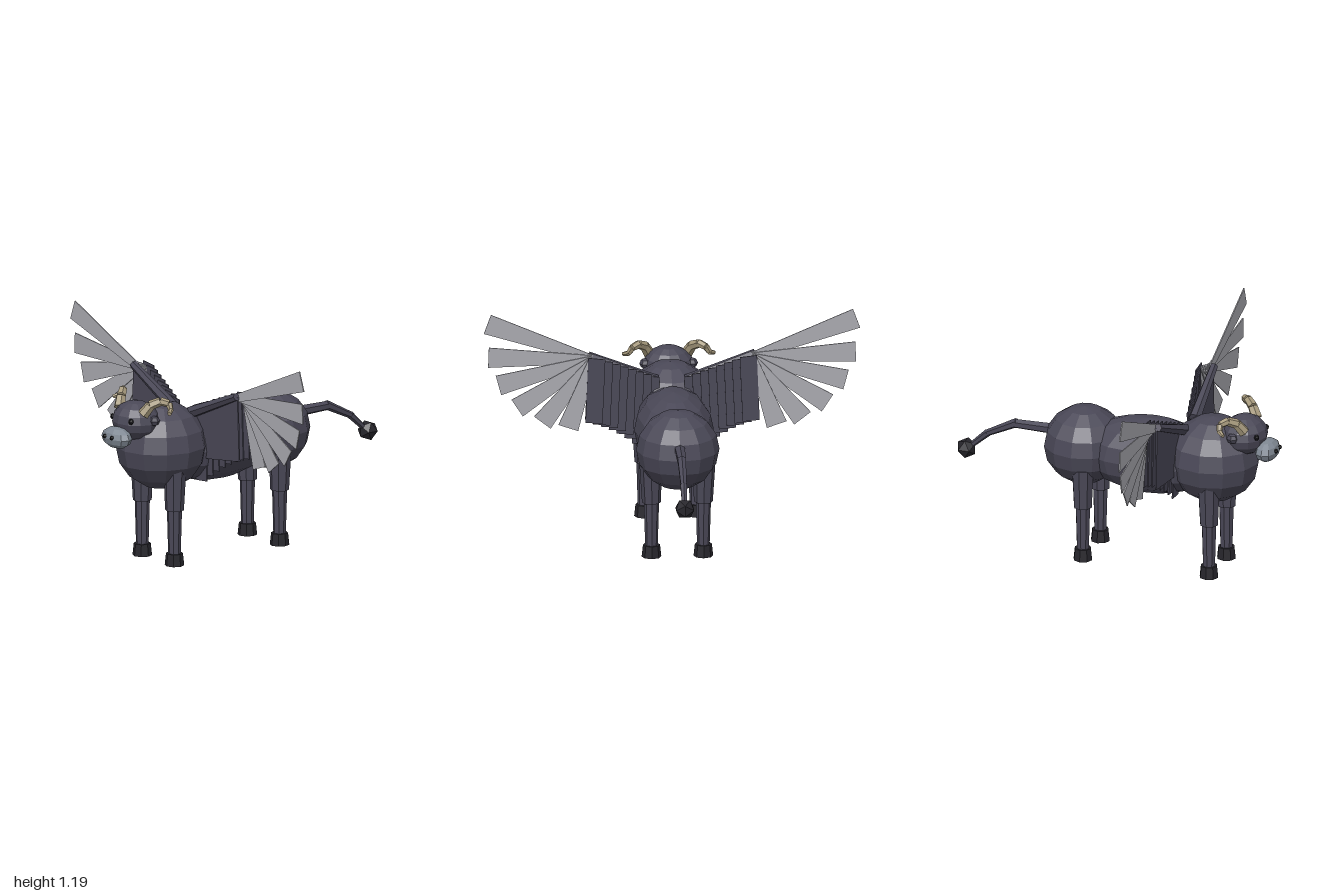
import * as THREE from 'three';

const mat = (name, color, side = THREE.FrontSide) => {
  const m = new THREE.MeshStandardMaterial({ color, flatShading: true, side });
  m.name = name;
  return m;
};
const V = (x, y, z) => new THREE.Vector3(x, y, z);

export function createModel() {
  const hide = mat('slate hide', 0x4a4857);
  const dark = mat('dark hoof', 0x26252b);
  const horn = mat('horn', 0xa89b7e);
  const snout = mat('grey muzzle', 0x7f8893);
  const feather = mat('pale feather', 0xa9a9b0, THREE.DoubleSide);
  const black = mat('black', 0x121215);

  const model = new THREE.Group();
  model.name = 'wingedBull';

  const add = (name, geo, material, parent = model) => {
    const mesh = new THREE.Mesh(geo, material);
    mesh.name = name;
    parent.add(mesh);
    return mesh;
  };
  // Faceted ellipsoid
  const ball = (name, c, r, material, w = 12, h = 8, parent = model) => {
    const mesh = add(name, new THREE.SphereGeometry(1, w, h), material, parent);
    mesh.scale.set(...r);
    mesh.position.set(...c);
    return mesh;
  };
  // Tapered rod between two points
  const rod = (name, a, b, ra, rb, material, sides = 8, parent = model) => {
    const mesh = add(name, new THREE.CylinderGeometry(rb, ra, a.distanceTo(b), sides), material, parent);
    mesh.position.copy(a).add(b).multiplyScalar(0.5);
    mesh.quaternion.setFromUnitVectors(V(0, 1, 0), b.clone().sub(a).normalize());
    return mesh;
  };
  // Thin plate from front-view corners, mirrored by s
  const plate = (name, corners, s, z, thick, material, parent) => {
    const shape = new THREE.Shape(corners.map(([x, y]) => new THREE.Vector2(s * x, y)));
    const geo = new THREE.ExtrudeGeometry(shape, { depth: thick, bevelEnabled: false });
    add(name, geo.translate(0, 0, z - thick / 2), material, parent);
  };

  // Body
  ball('chest', [0, 0.625, 0.53], [0.235, 0.235, 0.25], hide);
  ball('belly', [0, 0.595, 0.18], [0.21, 0.205, 0.4], hide);
  ball('rump', [0, 0.602, -0.19], [0.22, 0.213, 0.22], hide);

  // Head
  ball('head', [0, 0.785, 0.705], [0.135, 0.107, 0.122], hide);
  ball('muzzle', [0, 0.712, 0.832], [0.105, 0.058, 0.062], snout, 10, 6);

  for (const s of [-1, 1]) {
    ball('nostril', [s * 0.03, 0.722, 0.889], [0.012, 0.012, 0.012], black, 6, 4);
    ball('eye', [s * 0.077, 0.805, 0.797], [0.015, 0.017, 0.015], black, 6, 4);
    ball('ear', [s * 0.125, 0.802, 0.68], [0.03, 0.028, 0.032], hide, 6, 4);

    // Curled horn in tapering segments
    const hornGroup = new THREE.Group();
    hornGroup.name = 'horn';
    model.add(hornGroup);
    const path = [[0.1, 0.84, 0.735], [0.125, 0.89, 0.705], [0.16, 0.913, 0.665],
      [0.195, 0.903, 0.635], [0.213, 0.873, 0.638], [0.24, 0.86, 0.668]];
    for (let i = 0; i < path.length - 1; i++) {
      const [a, b] = [path[i], path[i + 1]].map(([x, y, z]) => V(s * x, y, z));
      const r = 0.031 - i * 0.004;
      rod('hornSegment', a, b, r, r - 0.004, horn, 6, hornGroup);
    }

    // Legs
    for (const [label, z] of [['front', 0.553], ['hind', -0.153]]) {
      const x = s * 0.137;
      rod(label + 'UpperLeg', V(x, 0.3, z), V(x * 1.03, 0.52, z), 0.05, 0.06, hide);
      rod(label + 'LowerLeg', V(x, 0.05, z), V(x, 0.33, z), 0.033, 0.041, hide);
      rod(label + 'Hoof', V(x, 0, z), V(x, 0.065, z), 0.052, 0.045, dark);
    }

    // Wing: arm, web, stepped coverts and fanned flight feathers
    const wing = new THREE.Group();
    wing.name = s > 0 ? 'leftWing' : 'rightWing';
    model.add(wing);
    rod('wingArm', V(s * 0.08, 0.795, 0.395), V(s * 0.44, 0.948, 0.375), 0.033, 0.022, hide, 6, wing);
    plate('wingWeb', [[0.1, 0.8], [0.1, 0.55], [0.215, 0.563], [0.458, 0.597], [0.443, 0.945]],
      s, 0.368, 0.008, hide, wing);

    for (let i = 0; i < 8; i++) {
      const t = i / 7;
      const x = 0.445 - 0.29 * t;
      const top = 0.957 - 0.12 * t;
      const bottom = 0.6 - 0.07 * t - 0.1 * t * t;
      plate('covert', [[x, top], [x - 0.09, top - 0.01], [x - 0.075, bottom - 0.008], [x + 0.015, bottom]],
        s, 0.303 + 0.056 * t, 0.006, hide, wing);
    }

    const fan = [[20, 0.585], [2, 0.545], [-15, 0.51], [-33, 0.47], [-52, 0.425], [-71, 0.385]];
    fan.forEach(([deg, len], i) => {
      const a = THREE.MathUtils.degToRad(deg);
      const at = (u, v) => [0.425 + u * Math.cos(a) - v * Math.sin(a), 0.935 + u * Math.sin(a) + v * Math.cos(a)];
      plate('flightFeather', [at(0, -0.022), at(len, -0.055), at(len, 0.055), at(0, 0.022)],
        s, 0.358 - i * 0.01, 0.006, feather, wing);
    });
  }

  // Tail
  rod('tailBase', V(0, 0.66, -0.36), V(0, 0.66, -0.585), 0.03, 0.025, hide, 6);
  rod('tailMiddle', V(0, 0.667, -0.57), V(0, 0.58, -0.745), 0.025, 0.018, hide, 6);
  rod('tailEnd', V(0, 0.585, -0.735), V(0, 0.48, -0.85), 0.02, 0.014, hide, 6);
  add('tailTuft', new THREE.IcosahedronGeometry(0.056, 0), dark).position.set(0, 0.482, -0.853);

  return model;
}
